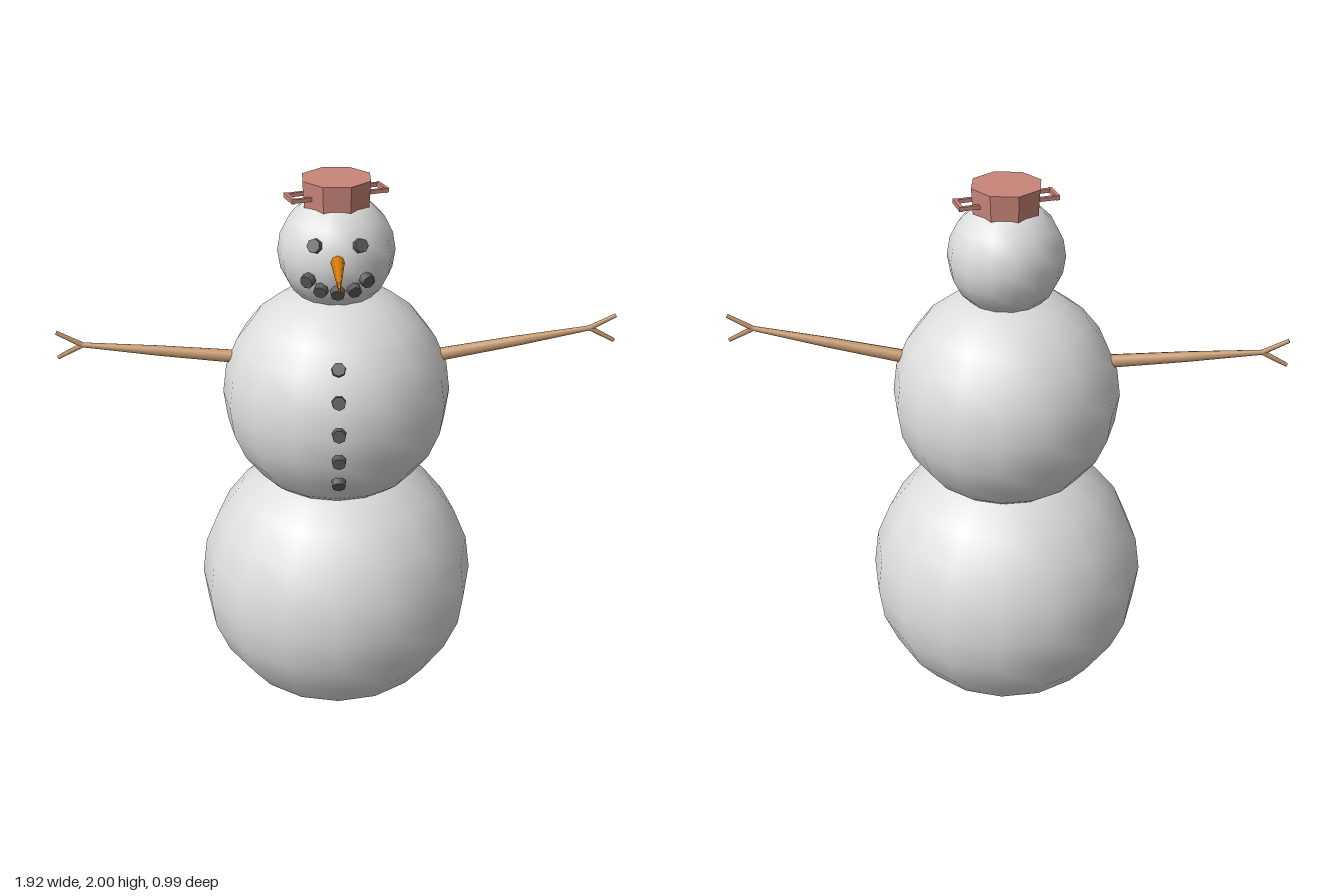
import * as THREE from 'three';

const mat = (name, color) => {
  const m = new THREE.MeshStandardMaterial({ color });
  m.name = name;
  return m;
};

export function createModel() {
  const model = new THREE.Group();
  model.name = 'snowman';
  const snow = mat('snow', 0xdcdcdc);
  const coal = mat('coal', 0x5c5c5c);
  const wood = mat('wood', 0xc4966a);
  const carrot = mat('carrot', 0xd97a0b);
  const bucketRed = mat('bucketRed', 0xc98579);
  const V = (x, y, z) => new THREE.Vector3(x, y, z);
  const UP = V(0, 1, 0);

  const add = (name, geometry, material, parent = model) => {
    const mesh = new THREE.Mesh(geometry, material);
    mesh.name = name;
    parent.add(mesh);
    return mesh;
  };

  // Tapered rod between two points
  const rod = (name, a, b, ra, rb, sides, material, parent) => {
    const dir = b.clone().sub(a);
    const mesh = add(name, new THREE.CylinderGeometry(rb, ra, dir.length(), sides), material, parent);
    mesh.position.copy(a).add(b).multiplyScalar(0.5);
    mesh.quaternion.setFromUnitVectors(UP, dir.normalize());
    return mesh;
  };

  // Snowballs
  const balls = {
    bottomBall: [0.5, 0.495, 16, 12],
    middleBall: [1.235, 0.395, 16, 12],
    head: [1.752, 0.197, 14, 10],
  };
  for (const [name, [y, r, w, h]] of Object.entries(balls)) {
    add(name, new THREE.SphereGeometry(r, w, h), snow).position.y = y;
  }

  // Coal lumps seated on a ball, facing outward
  const lump = (name, x, y, [cy, r]) => {
    const z = Math.sqrt(r * r - x * x - (y - cy) ** 2);
    const normal = V(x, y - cy, z).normalize();
    const p = V(x, y, z);
    rod(name, p.clone().addScaledVector(normal, -0.02), p.clone().addScaledVector(normal, 0.017),
      0.025, 0.023, 7, coal);
  };
  for (const y of [1.46, 1.365, 1.26, 1.16, 1.06]) lump('button', 0, y, balls.middleBall);
  for (const s of [-1, 1]) {
    lump('eye', s * 0.072, 1.825, balls.head);
    lump('mouthCorner', s * 0.094, 1.71, balls.head);
    lump('mouthSide', s * 0.053, 1.68, balls.head);
  }
  lump('mouthCentre', 0, 1.672, balls.head);

  // Carrot nose
  rod('nose', V(0, 1.775, 0.16), V(0, 1.778, 0.465), 0.025, 0.001, 8, carrot);

  // Stick arms with forked ends
  for (const [name, s, handY] of [['rightArm', -1, 1.415], ['leftArm', 1, 1.462]]) {
    const arm = new THREE.Group();
    arm.name = name;
    model.add(arm);
    const shoulder = V(s * 0.355, 1.368, 0);
    const hand = V(s * 0.87, handY, 0);
    const elbow = shoulder.clone().lerp(hand, 0.5);
    rod('upperArm', shoulder, elbow, 0.024, 0.019, 8, wood, arm);
    rod('forearm', elbow, hand, 0.019, 0.009, 8, wood, arm);
    for (const t of [-1, 1]) {
      rod('finger', hand, V(s * 0.957, handY + t * 0.046, 0), 0.009, 0.007, 6, wood, arm);
    }
  }

  // Upturned bucket hat
  const hat = new THREE.Group();
  hat.name = 'hat';
  model.add(hat);
  const bucketGeo = new THREE.CylinderGeometry(0.12, 0.113, 0.11, 8).toNonIndexed();
  bucketGeo.computeVertexNormals();
  const bucket = add('bucket', bucketGeo, bucketRed, hat);
  bucket.position.y = 1.945;
  bucket.rotation.y = Math.PI / 8;

  // Square handles on both sides of the bucket
  for (const s of [0, 1]) {
    const handle = new THREE.Group();
    handle.name = 'handle';
    handle.position.y = 1.948;
    handle.rotation.y = 0.36 + s * Math.PI;
    hat.add(handle);
    for (const z of [-0.034, 0.034]) {
      add('handleArm', new THREE.BoxGeometry(0.075, 0.013, 0.012), bucketRed, handle).position.set(0.128, 0, z);
    }
    add('handleGrip', new THREE.BoxGeometry(0.012, 0.016, 0.08), bucketRed, handle).position.x = 0.163;
  }
  return model;
}
